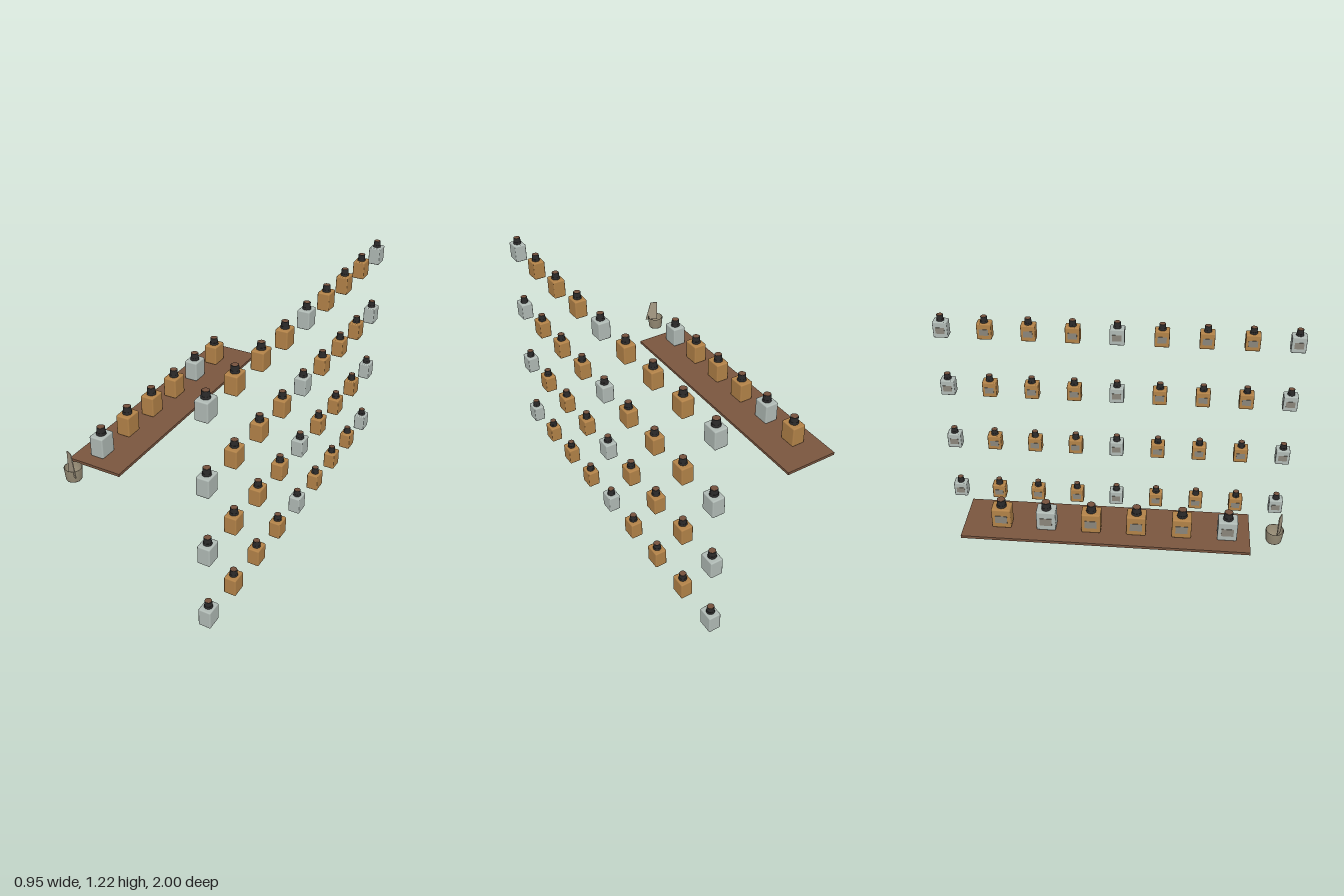
import * as THREE from 'three';
import { RoundedBoxGeometry } from 'three/addons/geometries/RoundedBoxGeometry.js';

const mat = (name, color, side = THREE.FrontSide) => {
  const m = new THREE.MeshStandardMaterial({ color, side });
  m.name = name;
  return m;
};

export function createModel() {
  const amber = mat('amber glass', 0xb28248);
  const clear = mat('pale glass', 0xb0bab5);
  const black = mat('black cap', 0x2b2a2a);
  const wood = mat('shelf wood', 0x7a563f);
  const disc = mat('cap disc brown', 0x76523d);
  const paper = mat('label grey', 0x8a857a);
  const clay = mat('pot clay', 0x938973, THREE.DoubleSide);
  const linen = mat('blade beige', 0xa89c86, THREE.DoubleSide);

  const root = new THREE.Group();
  root.name = 'bottleDisplay';
  const add = (parent, name, geo, material, x = 0, y = 0, z = 0) => {
    const m = new THREE.Mesh(geo, material);
    m.name = name;
    m.position.set(x, y, z);
    parent.add(m);
    return m;
  };

  // Shared bottle geometry, base at y = 0, label facing -x
  const W = 0.063, H = 0.093, D = 0.08;
  const bodyGeo = new RoundedBoxGeometry(W, H, D, 2, 0.006);
  const collarGeo = new THREE.CylinderGeometry(0.0195, 0.021, 0.012, 16);
  const capGeo = new THREE.CylinderGeometry(0.0175, 0.0185, 0.024, 16);
  const discGeo = new THREE.CylinderGeometry(0.0155, 0.0155, 0.002, 16);
  const labelGeo = new THREE.BoxGeometry(0.003, 0.036, 0.05);

  function bottle(name, glass, x, y, z, scale = 1) {
    const g = new THREE.Group();
    g.name = name;
    add(g, 'body', bodyGeo, glass, 0, H / 2, 0);
    add(g, 'collar', collarGeo, black, 0, H + 0.005, 0);
    add(g, 'cap', capGeo, black, 0, H + 0.022, 0);
    add(g, 'capDisc', discGeo, disc, 0, H + 0.034, 0);
    add(g, 'label', labelGeo, paper, -W / 2 - 0.0005, 0.044, 0);
    g.position.set(x, y, z);
    g.scale.setScalar(scale);
    root.add(g);
  }

  // Four wall rows of nine bottles, every fourth one pale
  for (let row = 0; row < 4; row++) {
    for (let i = 0; i < 9; i++) {
      bottle('wallBottle', i % 4 === 0 ? clear : amber, 0.443, row * 0.3655, 0.96 - i * 0.24);
    }
  }

  // Long shelf with six larger bottles
  add(root, 'shelf', new THREE.BoxGeometry(0.296, 0.015, 1.445), wood, -0.328, 0.4615, 0.012);
  for (let i = 0; i < 6; i++) {
    bottle('shelfBottle', i === 0 || i === 4 ? clear : amber, -0.359, 0.469, 0.619 - i * 0.227, 1.22);
  }

  // Open tapered pot beside the shelf end
  const profile = [[0, 0], [0.037, 0], [0.039, 0.004], [0.045, 0.066], [0.041, 0.066], [0.036, 0.008], [0, 0.008]]
    .map(([r, y]) => new THREE.Vector2(r, y));
  add(root, 'pot', new THREE.LatheGeometry(profile, 28), clay, -0.358, 0.46, 0.853);

  // Thin tapered blade standing in the pot
  const outline = new THREE.Shape([[-0.02, 0.118], [0.019, 0.118], [0.051, 0.0], [-0.02, 0.0]]
    .map(([x, y]) => new THREE.Vector2(x, y)));
  const blade = add(root, 'blade',
    new THREE.ExtrudeGeometry(outline, { depth: 0.004, bevelEnabled: false }), linen, -0.358, 0.5, 0.87);
  blade.rotation.y = -0.42;

  return root;
}
